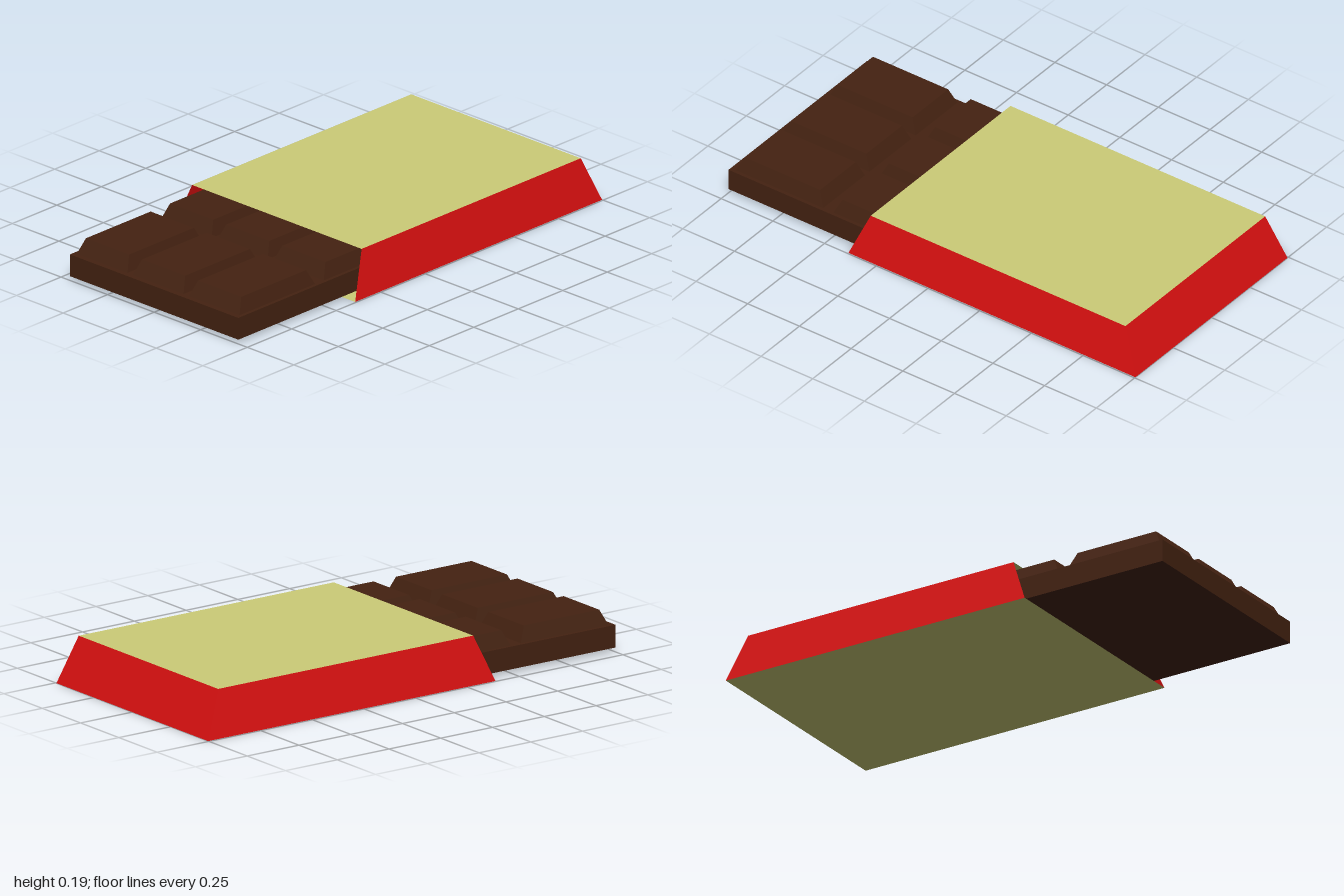
import * as THREE from 'three';

// Tapered block between a lower and an upper rectangle, each [x0, x1, z0, z1]
function taperedBlock(lower, upper, y0, y1) {
  const geo = new THREE.BoxGeometry(1, 1, 1);
  const pos = geo.attributes.position;
  for (let i = 0; i < pos.count; i++) {
    const top = pos.getY(i) > 0;
    const r = top ? upper : lower;
    pos.setXYZ(i, pos.getX(i) > 0 ? r[1] : r[0], top ? y1 : y0, pos.getZ(i) > 0 ? r[3] : r[2]);
  }
  geo.computeVertexNormals();
  return geo;
}

// Flat four-cornered panel, corners counter-clockwise from outside
function panel(a, b, c, d) {
  const geo = new THREE.BufferGeometry();
  geo.setAttribute('position', new THREE.Float32BufferAttribute([a, b, c, a, c, d].flat(), 3));
  geo.computeVertexNormals();
  return geo;
}

export function createModel() {
  const model = new THREE.Group();
  model.name = 'chocolateBar';

  const chocolate = new THREE.MeshStandardMaterial({ color: 0x442211 });
  chocolate.name = 'chocolate brown';
  const red = new THREE.MeshStandardMaterial({ color: 0xd91010, side: THREE.DoubleSide });
  red.name = 'wrapper red';
  const yellow = new THREE.MeshStandardMaterial({ color: 0xcccc77, side: THREE.DoubleSide });
  yellow.name = 'wrapper yellow';

  const add = (parent, name, geo, mat) => {
    const mesh = new THREE.Mesh(geo, mat);
    mesh.name = name;
    parent.add(mesh);
  };

  // Chocolate: slab with a grid of bevelled squares
  const bar = new THREE.Group();
  bar.name = 'bar';
  model.add(bar);
  const slab = [-0.452, 0.452, -0.9, 1];
  add(bar, 'slab', taperedBlock(slab, slab, 0.018, 0.11), chocolate);
  for (let row = 0; row < 4; row++) {
    const z = 0.765 - row * 0.473;
    for (let col = -1; col <= 1; col++) {
      const x = col * 0.301;
      add(bar, 'square', taperedBlock(
        [x - 0.136, x + 0.136, z - 0.212, z + 0.212],
        [x - 0.116, x + 0.116, z - 0.182, z + 0.182], 0.11, 0.172), chocolate);
    }
  }

  // Wrapper: thin tapered sleeve, open at the front
  const wrapper = new THREE.Group();
  wrapper.name = 'wrapper';
  model.add(wrapper);
  const H = 0.188;
  const low = (s, z) => [s * 0.495, 0, z];
  const high = (s, z) => [s * 0.455, H, z];
  const [zb, zf, tb, tf] = [-1, 0.388, -0.922, 0.31];
  add(wrapper, 'topPanel', panel(high(-1, tf), high(1, tf), high(1, tb), high(-1, tb)), yellow);
  add(wrapper, 'bottomPanel', panel(low(-1, zb), low(1, zb), low(1, zf), low(-1, zf)), yellow);
  add(wrapper, 'backPanel', panel(low(1, zb), low(-1, zb), high(-1, tb), high(1, tb)), red);
  add(wrapper, 'leftPanel', panel(low(1, zf), low(1, zb), high(1, tb), high(1, tf)), red);
  add(wrapper, 'rightPanel', panel(low(-1, zb), low(-1, zf), high(-1, tf), high(-1, tb)), red);

  return model;
}
